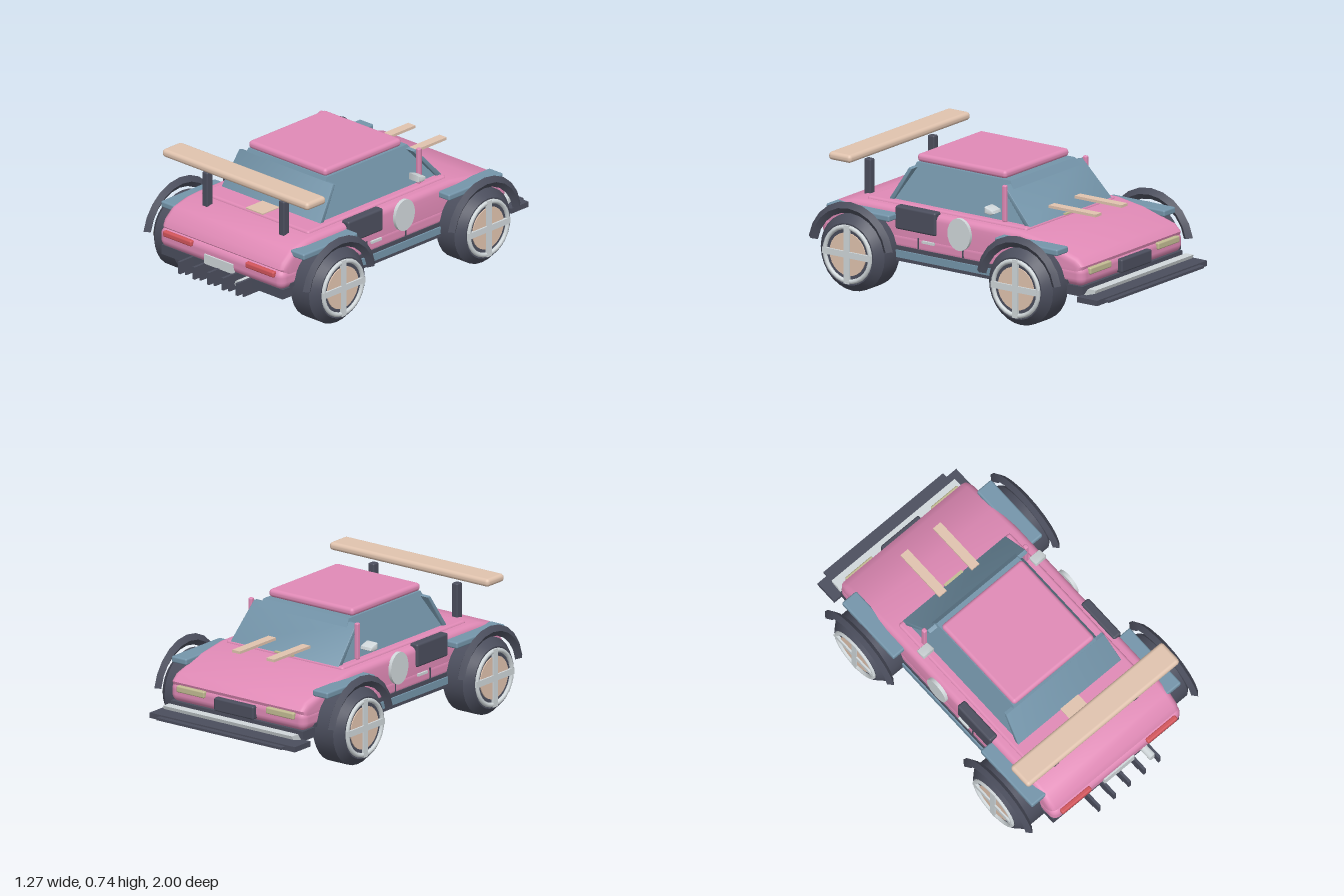
import * as THREE from 'three';
import { toCreasedNormals } from 'three/addons/utils/BufferGeometryUtils.js';
import { RoundedBoxGeometry } from 'three/addons/geometries/RoundedBoxGeometry.js';

const paint = (name, color) => Object.assign(new THREE.MeshStandardMaterial({ color }), { name });
const pink = paint('pink paint', 0xe08ab6);
const dark = paint('dark rubber', 0x4b4e5d);
const blue = paint('blue glass', 0x7495aa);
const tan = paint('tan wood', 0xe0c3ae);
const silver = paint('silver', 0xd0d7da);
const red = paint('tail red', 0xd2555b);
const cream = paint('cream lamp', 0xc2bb92);

export function createModel() {
  const car = new THREE.Group();
  car.name = 'car';

  const add = (name, geo, mat, parent = car) => {
    const mesh = new THREE.Mesh(geo, mat);
    mesh.name = name;
    parent.add(mesh);
    return mesh;
  };
  // Box given by its limits on each axis, rounded when r > 0
  const box = (name, mat, [x0, x1], [y0, y1], [z0, z1], r = 0) => {
    const size = [x1 - x0, y1 - y0, z1 - z0];
    const geo = r ? new RoundedBoxGeometry(...size, 3, r) : new THREE.BoxGeometry(...size);
    const mesh = add(name, geo, mat);
    mesh.position.set((x0 + x1) / 2, (y0 + y1) / 2, (z0 + z1) / 2);
    return mesh;
  };
  // The same box on both sides of the car
  const pair = (name, mat, [x0, x1], y, z, r) => {
    box(name + 'Left', mat, [x0, x1], y, z, r);
    box(name + 'Right', mat, [-x1, -x0], y, z, r);
  };
  // Side profile of [z, y] points, extruded across x with a bevel
  const profile = (points, width, bevel) => {
    const shape = new THREE.Shape(points.map(([z, y]) => new THREE.Vector2(-z, y)));
    const geo = new THREE.ExtrudeGeometry(shape, {
      depth: width - 2 * bevel, bevelEnabled: bevel > 0, bevelSize: bevel,
      bevelThickness: bevel, bevelOffset: -bevel, bevelSegments: 4,
    });
    geo.translate(0, 0, bevel - width / 2).rotateY(Math.PI / 2);
    return toCreasedNormals(geo, 0.6);
  };

  // Body shell
  box('lowerBody', pink, [-0.46, 0.46], [0.235, 0.352], [-0.845, 0.91], 0.045);
  add('upperBody', profile([
    [0.892, 0.35], [0.875, 0.39], [0.81, 0.445], [0.70, 0.47], [0.62, 0.475],
    [-0.42, 0.475], [-0.60, 0.447], [-0.80, 0.39], [-0.842, 0.35], [-0.82, 0.28], [0.86, 0.28],
  ], 0.915, 0.035), pink);
  box('beltDeck', pink, [-0.40, 0.40], [0.42, 0.488], [-0.43, 0.64], 0.015);

  // Cabin: a box with its top ring pulled in
  const cabin = new THREE.BoxGeometry(2, 1, 2).toNonIndexed();
  const p = cabin.attributes.position;
  for (let i = 0; i < p.count; i++) {
    const top = p.getY(i) > 0, rear = p.getZ(i) > 0;
    p.setXYZ(i, Math.sign(p.getX(i)) * (top ? 0.29 : 0.36), top ? 0.695 : 0.47,
      rear ? (top ? 0.385 : 0.49) : (top ? -0.24 : -0.41));
  }
  cabin.computeVertexNormals();
  add('cabinGlass', cabin, blue);
  // Window slabs, slightly narrower at the top
  const slab = (name, points) => {
    const geo = profile(points, 0.735, 0.004);
    const v = geo.attributes.position;
    for (let i = 0; i < v.count; i++) if (v.getY(i) > 0.6) v.setX(i, v.getX(i) * 0.95);
    add(name, geo, blue);
  };
  slab('windshield', [[-0.428, 0.485], [-0.247, 0.68], [-0.225, 0.675], [-0.39, 0.485]]);
  slab('rearWindow', [[0.515, 0.485], [0.395, 0.675], [0.375, 0.67], [0.485, 0.485]]);
  box('roof', pink, [-0.29, 0.287], [0.695, 0.74], [-0.205, 0.39], 0.02);
  pair('pillar', pink, [0.35, 0.375], [0.485, 0.69], [-0.27, -0.243], 0.008);
  for (const s of [1, -1]) {
    const mirror = add('mirror', profile([
      [-0.175, 0.572], [-0.20, 0.566], [-0.23, 0.555], [-0.235, 0.54], [-0.215, 0.53], [-0.175, 0.535],
    ], 0.075, 0.006), silver);
    mirror.position.x = s * 0.401;
  }

  // Rear wing
  box('wing', tan, [-0.545, 0.542], [0.695, 0.74], [0.645, 0.795], 0.02);
  pair('wingStrut', dark, [0.265, 0.305], [0.45, 0.66], [0.685, 0.73], 0.008);

  // Floor and sills
  box('chassis', dark, [-0.45, 0.45], [0.185, 0.24], [-0.84, 0.89]);
  pair('sillGuard', dark, [0.43, 0.464], [0.245, 0.268], [-0.75, 0.84]);
  pair('sill', blue, [0.43, 0.473], [0.205, 0.245], [-0.42, 0.48]);
  pair('sillBase', dark, [0.43, 0.468], [0.185, 0.205], [-0.42, 0.48]);

  // Side details
  pair('sideIntake', dark, [0.415, 0.47], [0.36, 0.49], [0.13, 0.40], 0.012);
  pair('doorHandle', silver, [0.45, 0.47], [0.308, 0.322], [0.14, 0.22]);
  for (const z of [0.25, -0.05]) pair('doorSeam', dark, [0.455, 0.463], [0.27, 0.33], [z - 0.004, z + 0.004]);
  for (const s of [1, -1]) {
    const disc = add('doorRoundel', new THREE.CylinderGeometry(0.09, 0.09, 0.02, 24), silver);
    disc.rotation.z = Math.PI / 2;
    disc.scale.z = 0.84;
    disc.position.set(s * 0.466, 0.40, -0.032);
  }

  // Wheels with fenders and arches
  const tyreGeo = toCreasedNormals(new THREE.LatheGeometry([
    [0, -0.10], [0.17, -0.10], [0.19, -0.10], [0.214, -0.075], [0.214, 0.058],
    [0.172, 0.104], [0.15, 0.10], [0, 0.10],
  ].map(([r, y]) => new THREE.Vector2(r, y)), 28), 0.5).rotateZ(-Math.PI / 2);
  const ringGeo = new THREE.TorusGeometry(0.151, 0.013, 8, 28).rotateY(Math.PI / 2);
  const discGeo = new THREE.CylinderGeometry(0.12, 0.12, 0.012, 24).rotateZ(Math.PI / 2);
  const spokeGeo = new THREE.BoxGeometry(0.016, 0.325, 0.035);
  const arc = Math.PI * 0.88;
  const archGeo = toCreasedNormals(new THREE.TorusGeometry(0.255, 0.031, 4, 10, arc)
    .rotateZ((Math.PI - arc) / 2).scale(1, 1, 0.75).rotateY(Math.PI / 2), 0.4);
  for (const z of [0.603, -0.523]) {
    for (const s of [1, -1]) {
      const wheel = new THREE.Group();
      wheel.name = (z > 0 ? 'rear' : 'nose') + (s > 0 ? 'Left' : 'Right') + 'Wheel';
      wheel.position.set(s * 0.517, 0.217, z);
      wheel.rotation.y = s > 0 ? 0 : Math.PI;
      car.add(wheel);
      add('tyre', tyreGeo, dark, wheel);
      add('rimRing', ringGeo, silver, wheel).position.x = 0.104;
      add('hubDisc', discGeo, tan, wheel).position.x = 0.10;
      for (const a of [0, Math.PI / 2]) {
        const spoke = add('spoke', spokeGeo, silver, wheel);
        spoke.position.x = 0.108;
        spoke.rotation.x = a;
      }
      const arch = add('wheelArch', archGeo, dark);
      arch.position.set(s * 0.592, 0.216, z);
    }
    pair('fender', blue, [0.43, 0.533], [0.41, 0.447], [z - 0.21, z + 0.21], 0.01);
  }

  // Tail: lamps, plate, exhaust and diffuser fins
  pair('tailLight', red, [0.20, 0.412], [0.308, 0.342], [0.895, 0.925], 0.01);
  box('plate', silver, [-0.107, 0.104], [0.24, 0.295], [0.90, 0.92]);
  const exhaust = add('exhaust', new THREE.CylinderGeometry(0.026, 0.026, 0.12, 16), silver);
  exhaust.rotation.x = Math.PI / 2;
  exhaust.position.set(0.195, 0.22, 0.91);
  for (const x of [-0.215, -0.107, 0, 0.107, 0.213]) {
    box('diffuserFin', dark, [x - 0.008, x + 0.008], [0.172, 0.243], [0.85, 1.0]);
    box('diffuserFinBase', dark, [x - 0.006, x + 0.006], [0.15, 0.20], [0.81, 0.95]);
  }

  // Nose: lamps, grille and splitter
  pair('headlight', cream, [0.21, 0.40], [0.30, 0.337], [-0.86, -0.83], 0.008);
  box('grille', dark, [-0.135, 0.135], [0.25, 0.325], [-0.872, -0.83], 0.01);
  box('splitter', dark, [-0.497, 0.493], [0.165, 0.195], [-0.97, -0.835]);
  box('splitterLip', dark, [-0.43, 0.425], [0.173, 0.187], [-1.0, -0.96]);
  add('splitterBlade', profile([[-0.922, 0.232], [-0.87, 0.232], [-0.84, 0.19], [-0.915, 0.212]], 0.88, 0), silver);

  // Raised hood strips and deck patches
  pair('hoodStrip', tan, [0.09, 0.143], [0.535, 0.55], [-0.70, -0.385]);
  box('deckPatch', tan, [-0.065, 0.062], [0.486, 0.493], [0.49, 0.64]);
  box('cowlPatch', cream, [-0.065, 0.062], [0.484, 0.492], [-0.438, -0.41]);
  return car;
}
